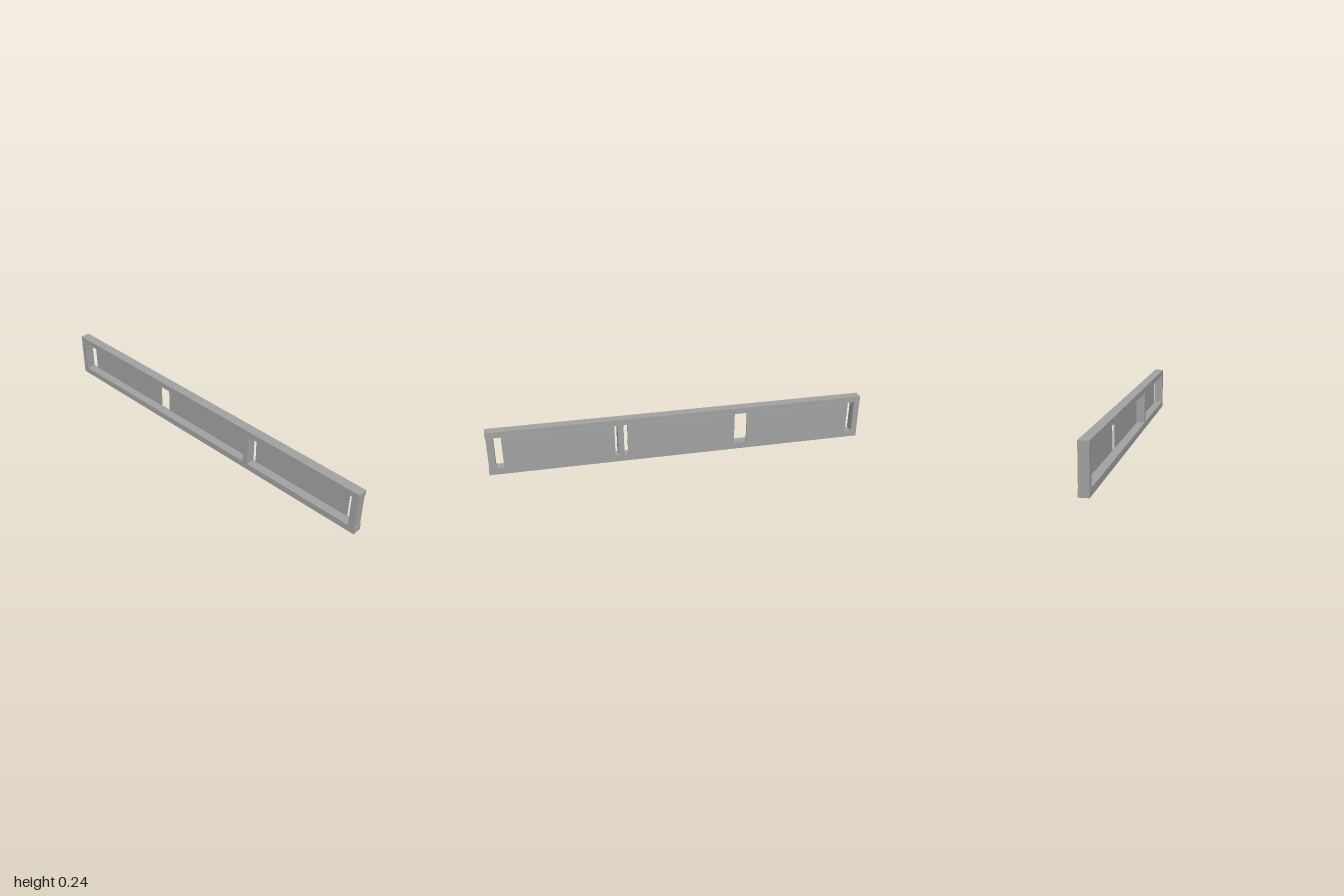
import * as THREE from 'three';

export function createModel() {
  const group = new THREE.Group();
  const grey = new THREE.MeshStandardMaterial({ color: 0xa0a0a0 });
  grey.name = 'grey';

  // Box given by its lower and upper limits on each axis
  const addBox = (name, [x0, x1], [y0, y1], [z0, z1]) => {
    const mesh = new THREE.Mesh(new THREE.BoxGeometry(x1 - x0, y1 - y0, z1 - z0), grey);
    mesh.name = name;
    mesh.position.set((x0 + x1) / 2, (y0 + y1) / 2, (z0 + z1) / 2);
    group.add(mesh);
  };

  // Long rails
  addBox('bottomRail', [-1, 1], [0.002, 0.037], [-0.024, 0.026]);
  addBox('topRail', [-1, 1], [0.211, 0.242], [-0.024, 0.027]);

  // Uprights between the rails
  const posts = { rightPost: [-1, -0.967], middlePost: [0.304, 0.335], leftPost: [0.962, 0.997] };
  for (const [name, x] of Object.entries(posts)) addBox(name, x, [0.037, 0.211], [-0.023, 0.026]);

  // Thin back panels with open gaps between them
  const panels = { rightPanel: [-0.93, -0.358], middlePanel: [-0.29, 0.285], leftPanel: [0.352, 0.922] };
  for (const [name, x] of Object.entries(panels)) addBox(name, x, [0.034, 0.213], [-0.027, -0.019]);

  return group;
}
